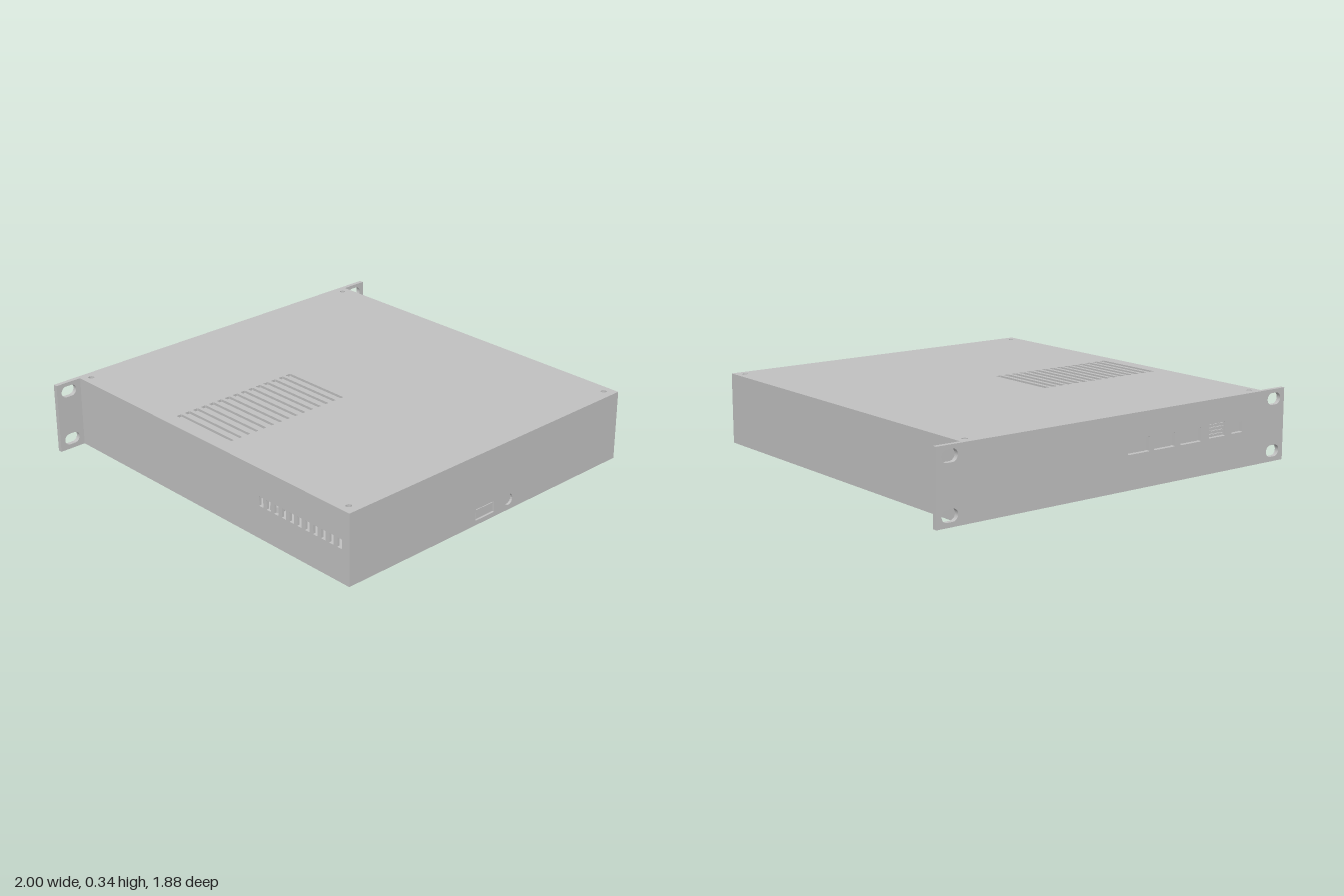
import * as THREE from 'three';
import { toCreasedNormals } from 'three/addons/utils/BufferGeometryUtils.js';

const W = 0.865, H = 0.344, Z = 0.938, T = 0.012; // half width, height, half depth, sheet thickness
const FACE = 0.022;                               // rack face plate thickness

// Rounded rectangle traced as a hole (r = half the short side gives a slot)
function slot(x, y, w, h, r = 0.003) {
  const p = new THREE.Path(), a = w / 2 - r, b = h / 2 - r;
  p.absarc(x + a, y + b, r, 0, Math.PI / 2);
  p.absarc(x - a, y + b, r, Math.PI / 2, Math.PI);
  p.absarc(x - a, y - b, r, Math.PI, Math.PI * 1.5);
  p.absarc(x + a, y - b, r, Math.PI * 1.5, Math.PI * 2);
  p.closePath();
  return p;
}

function round(x, y, r) {
  return new THREE.Path().absarc(x, y, r, 0, Math.PI * 2, true);
}

export function createModel() {
  const model = new THREE.Group();
  model.name = 'rackEnclosure';
  const metal = new THREE.MeshStandardMaterial({ color: 0xc0c0c0 });
  metal.name = 'greyMetal';

  const add = (name, geometry, x = 0, y = 0, z = 0) => {
    const mesh = new THREE.Mesh(geometry, metal);
    mesh.name = name;
    mesh.position.set(x, y, z);
    model.add(mesh);
    return mesh;
  };

  // Flat sheet from (x0, y0) to (x1, y1) with cutouts, thickened along +z
  const sheet = (name, x0, y0, x1, y1, depth, holes = []) => {
    const s = new THREE.Shape();
    s.moveTo(x0, y0).lineTo(x1, y0).lineTo(x1, y1).lineTo(x0, y1).closePath();
    s.holes.push(...holes);
    return add(name, new THREE.ExtrudeGeometry(s, { depth, bevelEnabled: false, curveSegments: 8 }));
  };

  // Lid with vent slots and corner screw holes
  const lidHoles = [];
  for (let i = 0; i < 15; i++) lidHoles.push(slot(-0.781 + i * 0.0472, 0.085, 0.028, 0.37, 0.005));
  for (const x of [-0.82, 0.82]) for (const y of [-0.887, 0.887]) lidHoles.push(round(x, y, 0.0135));
  const lid = sheet('lid', -W, -Z, W, Z - FACE, T, lidHoles);
  lid.rotation.x = -Math.PI / 2;
  lid.position.y = H - T;

  // Floor with four mounting holes, each capped by a blind standoff
  const floorHoles = [];
  const cup = toCreasedNormals(new THREE.LatheGeometry(
    [[0, 0.02], [0.022, 0.02], [0.022, 0], [0.034, 0], [0.034, 0.028], [0, 0.028]]
      .map(([x, y]) => new THREE.Vector2(x, y)), 20), 0.6);
  for (const x of [-0.04, -0.645]) for (const z of [-0.247, 0.247]) {
    floorHoles.push(round(x, -z, 0.022));
    add('standoff', cup, x, T, z);
  }
  const floor = sheet('floor', -W, -Z, W, Z - FACE, T, floorHoles);
  floor.rotation.x = -Math.PI / 2;

  // Side walls, one with a row of small vents
  const sideVents = [];
  for (let i = 0; i < 11; i++) sideVents.push(slot(0.39 + i * 0.049, 0.184, 0.026, 0.046));
  for (const [name, x, holes] of [['ventedSide', -W + T, sideVents], ['plainSide', W, []]]) {
    const side = sheet(name, -Z + FACE, T, Z - T, H - T, T, holes);
    side.rotation.y = -Math.PI / 2;
    side.position.x = x;
  }

  // Connector wall with a framed socket and a round jack
  const wall = sheet('connectorWall', -W, T, W, H - T, T, [
    slot(-0.04, 0.051, 0.12, 0.056), round(0.115, 0.051, 0.027),
  ]);
  wall.position.z = Z - T;
  add('socketBody', new THREE.BoxGeometry(0.14, 0.07, 0.01), -0.04, 0.051, Z - T - 0.005);
  add('socketInsert', new THREE.BoxGeometry(0.108, 0.044, 0.01), -0.04, 0.051, Z - T + 0.004);
  add('jackBody', new THREE.BoxGeometry(0.07, 0.07, 0.01), 0.115, 0.051, Z - T - 0.005);

  // Rack face plate with ears, mounting slots and port openings
  const faceHoles = [];
  for (const x of [-0.933, 0.933]) for (const y of [0.05, 0.298]) faceHoles.push(slot(x, y, 0.083, 0.056, 0.0279));
  const ports = [
    [-0.09, 0.193, 0.125, 0.066], [-0.243, 0.193, 0.125, 0.066], [-0.404, 0.193, 0.125, 0.066],
    [-0.568, 0.199, 0.1, 0.066], [-0.694, 0.193, 0.068, 0.05],
  ];
  for (const [x, y, w, h] of ports) {
    faceHoles.push(slot(x, y, w, h));
    add('portBack', new THREE.BoxGeometry(w + 0.01, h + 0.01, 0.01), x, y, -Z + FACE + 0.005);
  }
  const plate = sheet('rackFacePlate', -1, 0, 1, H, FACE, faceHoles);
  plate.position.z = -Z;

  // Rows of pins in the wider-pitched fourth port
  const pin = new THREE.BoxGeometry(0.006, 0.01, 0.018);
  for (let i = 0; i < 8; i++) for (let j = 0; j < 4; j++) {
    add('pin', pin, -0.568 + (i - 3.5) * 0.0118, 0.199 + (j - 1.5) * 0.0155, -Z + FACE - 0.009);
  }
  return model;
}
